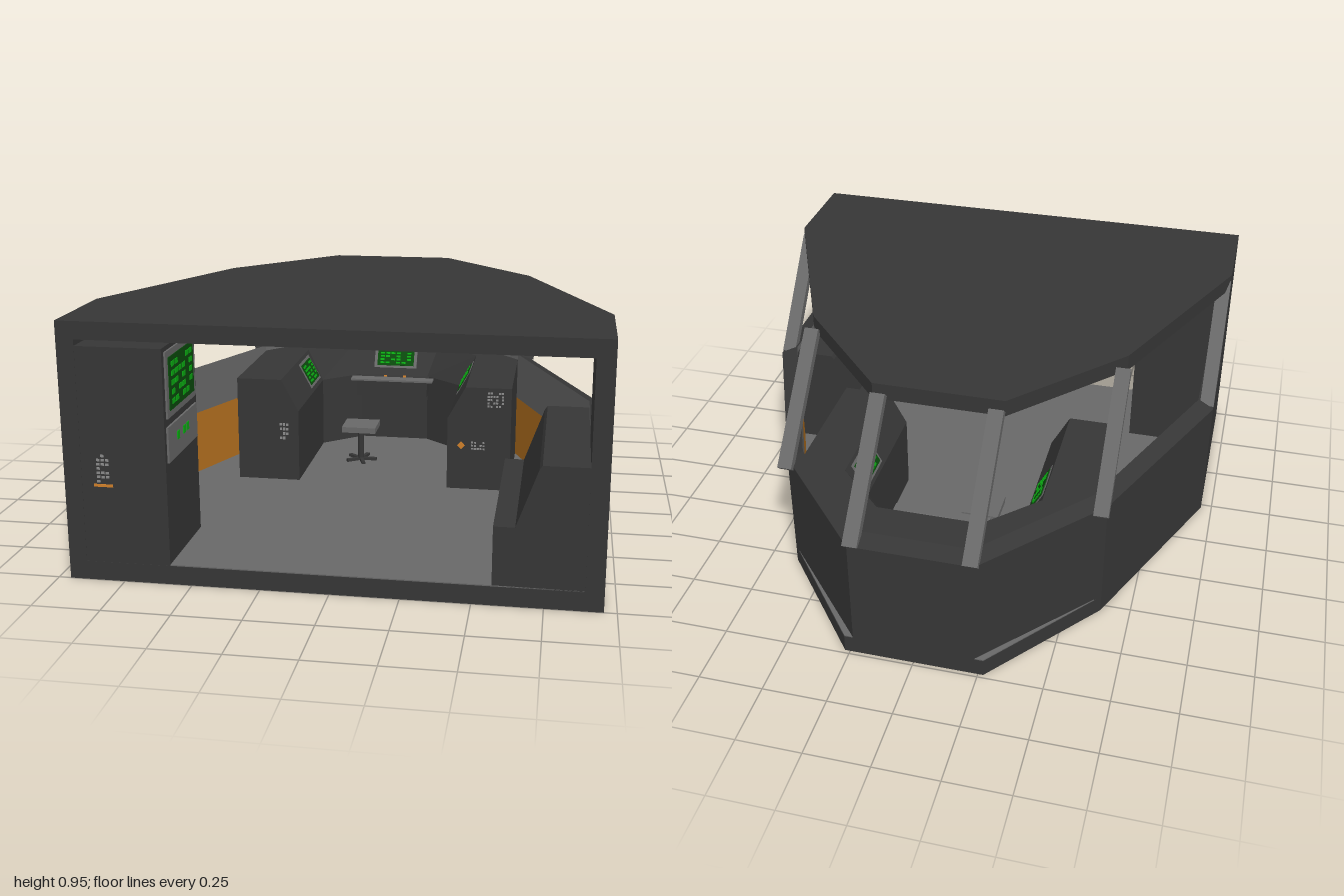
import * as THREE from 'three';

const mat = (name, color, side = THREE.FrontSide) =>
  Object.assign(new THREE.MeshStandardMaterial({ color, side }), { name });
const hull = mat('charcoal hull', 0x363636, THREE.DoubleSide);
const grey = mat('grey floor and struts', 0x686868, THREE.DoubleSide);
const orange = mat('orange panel', 0xb3701f, THREE.DoubleSide);
const screenDark = mat('dark green screen', 0x0a4a0c);
const green = mat('bright green', 0x0aaa12);
const pale = mat('pale grey marks', 0x8a8a8a);
const amber = mat('amber lights', 0xd0802a);

function add(parent, name, geometry, material, x = 0, y = 0, z = 0) {
  const m = new THREE.Mesh(geometry, material);
  m.name = name;
  m.position.set(x, y, z);
  parent.add(m);
  return m;
}

// Box given by its limits
function block(parent, name, material, [x0, x1], [y0, y1], [z0, z1]) {
  return add(parent, name, new THREE.BoxGeometry(x1 - x0, y1 - y0, z1 - z0), material,
    (x0 + x1) / 2, (y0 + y1) / 2, (z0 + z1) / 2);
}

// Horizontal slab from a plan outline of [x, z] points
function slab(parent, name, material, plan, y0, y1) {
  const shape = new THREE.Shape(plan.map(([x, z]) => new THREE.Vector2(x, -z)));
  const g = new THREE.ExtrudeGeometry(shape, { depth: y1 - y0, bevelEnabled: false });
  g.rotateX(-Math.PI / 2);
  return add(parent, name, g, material, 0, y0, 0);
}

// Flat-faced skin between successive rows of [x, y, z] points
function skin(parent, name, material, rows) {
  const p = [];
  for (let r = 0; r + 1 < rows.length; r++)
    for (let i = 0; i + 1 < rows[r].length; i++) {
      const a = rows[r][i], b = rows[r][i + 1], c = rows[r + 1][i + 1], d = rows[r + 1][i];
      p.push(...a, ...b, ...c, ...a, ...c, ...d);
    }
  const g = new THREE.BufferGeometry();
  g.setAttribute('position', new THREE.Float32BufferAttribute(p, 3));
  g.computeVertexNormals();
  return add(parent, name, g, material);
}

// Complete a half plan (right side, front to back) with its mirror image
const mirror = half => [...half, ...half.slice().reverse().map(([x, z]) => [-x, z])];
const at = (plan, y) => plan.map(([x, z]) => [x, y, z]);

// Rows of tiny marks on a plate facing +z of the given group
function marks(parent, name, material, cols, rows, w, h, x, y, z) {
  let seed = cols * 31 + rows * 17;
  const set = new THREE.Group();
  set.name = name;
  for (let r = 0; r < rows; r++)
    for (let c = 0; c < cols; c++) {
      seed = (seed * 73 + 41) % 1009;
      if (seed % 4 === 0) continue;
      add(set, 'mark', new THREE.BoxGeometry(w / cols * 0.75, h / rows * 0.55, 0.003), material,
        x + ((c + 0.5) / cols - 0.5) * w, y + ((r + 0.5) / rows - 0.5) * h, z);
    }
  parent.add(set);
}

// Framed display; local +z is its face
function display(parent, w, h) {
  const d = new THREE.Group();
  d.name = 'display';
  add(d, 'displayFrame', new THREE.BoxGeometry(w, h, 0.008), grey);
  add(d, 'displayGlass', new THREE.BoxGeometry(w * 0.86, h * 0.8, 0.006), screenDark, 0, 0, 0.004);
  marks(d, 'displayReadout', green, 6, 5, w * 0.75, h * 0.7, 0, 0, 0.008);
  parent.add(d);
  return d;
}

export function createModel() {
  const model = new THREE.Group();
  model.name = 'controlRoom';

  // Floor and roof
  const floorPlan = mirror([[0.955, 1], [0.955, 0.23], [0.635, -0.53], [0.27, -0.985]]);
  slab(model, 'floorBase', hull, floorPlan, 0, 0.07);
  slab(model, 'floorSurface', grey, floorPlan.map(([x, z]) => [x * 0.998, z * 0.998]), 0.07, 0.074);
  slab(model, 'roof', hull, mirror([[0.955, 1], [0.955, 0.6], [0.63, -0.16], [0.25, -0.58]]), 0.89, 0.955);

  // Low wall around the windows, with sloped sill and lined inside
  const outer = mirror([[0.955, 0.62], [0.955, 0.23], [0.635, -0.53], [0.235, -0.985]]);
  const inner = mirror([[0.89, 0.62], [0.89, 0.25], [0.58, -0.5], [0.215, -0.92]]);
  skin(model, 'outerWall', hull, [at(outer, 0.07), at(outer, 0.515), at(inner, 0.54)]);
  skin(model, 'upperLining', grey, [at(inner, 0.54), at(inner, 0.34)]);
  skin(model, 'lowerLining', orange, [at(inner, 0.34), at(inner, 0.07)]);

  for (const s of [-1, 1]) {
    // Full-height side walls
    block(model, 'sideWall', hull, s < 0 ? [-0.955, -0.89] : [0.89, 0.955], [0.07, 0.89], [0.62, 1]);

    // Sloping window struts
    const spots = [[0.927, 0.6, 0.26], [0.62, -0.21, -0.585], [0.222, -0.6, -0.975]];
    for (const [x, zTop, zLow] of spots) {
      const dy = 0.395, dz = zTop - zLow;
      const strut = add(model, 'windowStrut',
        new THREE.BoxGeometry(0.057, Math.hypot(dy, dz) + 0.02, 0.034), grey,
        s * x, 0.715, (zTop + zLow) / 2);
      strut.rotation.x = Math.atan2(dz, dy);
    }
  }

  // Wrap-round console: flat top, sloped instrument face, upright front
  const back = mirror([[0.58, 0.02], [0.58, -0.5], [0.215, -0.92]]);
  const rim = mirror([[0.39, 0.02], [0.39, -0.55], [0.2, -0.74]]);
  const lip = mirror([[0.317, 0.02], [0.317, -0.52], [0.155, -0.66]]);
  skin(model, 'console', hull,
    [at(back, 0.07), at(back, 0.515), at(rim, 0.515), at(lip, 0.38), at(lip, 0.07)]);
  for (const s of [-1, 1]) {
    const end = new THREE.Shape([[0.58, 0.07], [0.58, 0.515], [0.39, 0.515], [0.317, 0.38], [0.317, 0.07]]
      .map(([x, y]) => new THREE.Vector2(s * x, y)));
    add(model, 'consoleEnd', new THREE.ShapeGeometry(end), hull, 0, 0, 0.02);
    // Displays on the side slopes
    const side = display(model, 0.2, 0.12);
    side.position.set(s * 0.356, 0.448, -0.4);
    side.rotation.set(-Math.PI / 2, 0, 0);
    side.rotation.order = 'YXZ';
    side.rotation.set(-0.5, -s * Math.PI / 2, 0);
  }
  const centre = display(model, 0.2, 0.11);
  centre.position.set(0, 0.458, -0.703);
  centre.rotation.x = -0.52;

  // Rear desk
  block(model, 'deskBody', hull, [-0.16, 0.165], [0.31, 0.38], [-0.66, -0.545]);
  slab(model, 'deskTop', grey,
    [[-0.19, -0.54], [0.19, -0.54], [0.19, -0.6], [0.165, -0.6], [-0.165, -0.6], [-0.19, -0.6]], 0.378, 0.386);
  for (const x of [-0.04, 0.05])
    add(model, 'deskLight', new THREE.BoxGeometry(0.014, 0.006, 0.012), amber, x, 0.382, -0.63);

  // Tall cabinet with a screen on its inner side
  block(model, 'cabinet', hull, [-0.95, -0.577], [0.07, 0.867], [0.62, 0.999]);
  const cabinetScreen = display(model, 0.33, 0.24);
  cabinetScreen.position.set(-0.574, 0.73, 0.81);
  cabinetScreen.rotation.y = Math.PI / 2;
  block(model, 'cabinetKeyPanel', grey, [-0.577, -0.569], [0.45, 0.58], [0.64, 0.98]);
  for (const z of [0.75, 0.79, 0.86])
    block(model, 'cabinetKey', green, [-0.57, -0.566], [0.51, 0.54], [z, z + 0.025]);
  marks(model, 'cabinetMarks', pale, 3, 7, 0.05, 0.11, -0.81, 0.425, 1);
  block(model, 'cabinetLabel', amber, [-0.845, -0.775], [0.357, 0.367], [0.998, 1.002]);

  // Long stepped console beside the entrance
  const step = new THREE.Shape([[0.57, 0.07], [0.95, 0.07], [0.95, 0.515], [0.73, 0.515], [0.72, 0.5],
    [0.645, 0.29], [0.57, 0.29]].map(([x, y]) => new THREE.Vector2(x, y)));
  add(model, 'entranceConsole',
    new THREE.ExtrudeGeometry(step, { depth: 0.748, bevelEnabled: false }), hull, 0, 0, 0.25);

  // Marks on the console ends
  marks(model, 'leftEndMarks', pale, 6, 5, 0.07, 0.07, 0.515, 0.465, 0.022);
  marks(model, 'lowerEndMarks', pale, 5, 3, 0.06, 0.04, 0.445, 0.265, 0.022);
  add(model, 'endLight', new THREE.CircleGeometry(0.017, 4), amber, 0.375, 0.265, 0.024);
  marks(model, 'rightEndMarks', pale, 3, 4, 0.04, 0.08, -0.38, 0.29, 0.022);

  // Stool with star base
  const stool = new THREE.Group();
  stool.name = 'stool';
  stool.position.set(-0.1, 0.074, -0.29);
  add(stool, 'seat', new THREE.BoxGeometry(0.15, 0.025, 0.14), grey, 0, 0.16, 0);
  add(stool, 'post', new THREE.CylinderGeometry(0.014, 0.014, 0.14, 8), hull, 0, 0.08, 0);
  for (let i = 0; i < 5; i++) {
    const a = i * Math.PI * 0.4;
    const leg = add(stool, 'foot', new THREE.BoxGeometry(0.07, 0.012, 0.016), hull,
      Math.cos(a) * 0.035, 0.01, -Math.sin(a) * 0.035);
    leg.rotation.y = a;
  }
  model.add(stool);

  return model;
}
